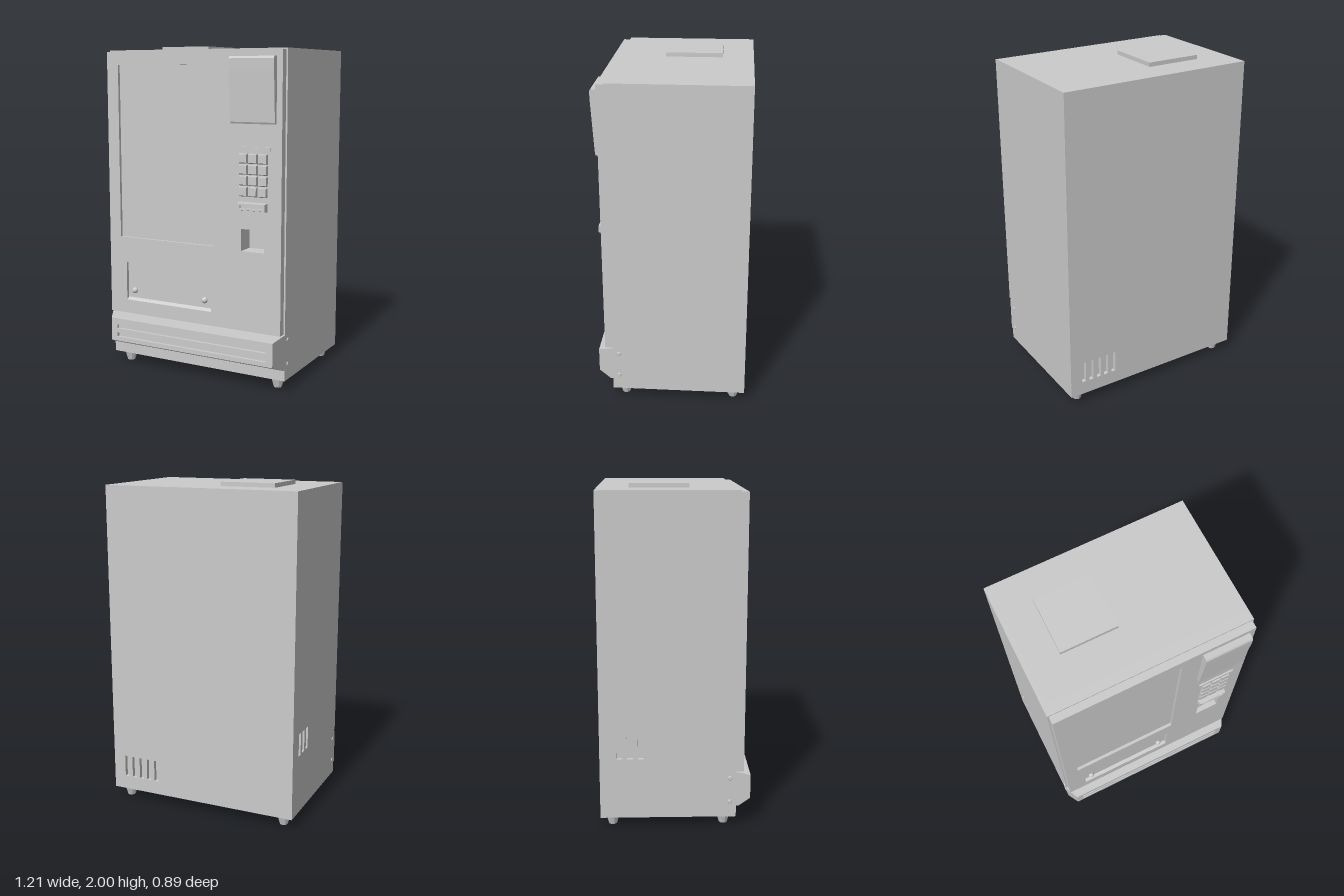
import * as THREE from 'three';

const mat = new THREE.MeshStandardMaterial({ color: 0xcccccc });
const flatMat = new THREE.MeshStandardMaterial({ color: 0xcccccc, flatShading: true });

// Rectangle outline given by its limits
function rect(x0, x1, y0, y1, Type = THREE.Shape) {
  return new Type([[x0, y0], [x1, y0], [x1, y1], [x0, y1]].map(p => new THREE.Vector2(...p)));
}

// Flat panel with rectangular openings, from z = 0 to z = depth
function panel(limits, holes, depth) {
  const shape = rect(...limits);
  holes.forEach(h => shape.holes.push(rect(...h, THREE.Path)));
  return new THREE.ExtrudeGeometry(shape, { depth, bevelEnabled: false });
}

// Box with a smaller front face; open leaves the front off
function tapered(w, h, w2, h2, d, open = false) {
  const g = new THREE.BoxGeometry(w, h, d);
  const p = g.attributes.position;
  for (let i = 0; i < p.count; i++) {
    if (p.getZ(i) > 0) p.setXY(i, p.getX(i) * w2 / w, p.getY(i) * h2 / h);
  }
  if (open) {
    g.setIndex(Array.from(g.index.array).slice(0, 24));
    g.clearGroups();
  }
  return g.translate(0, 0, d / 2);
}

export function createModel() {
  const root = new THREE.Group();
  function add(name, geo, x = 0, y = 0, z = 0, parent = root, m = mat) {
    const mesh = new THREE.Mesh(geo, m);
    mesh.name = name;
    mesh.position.set(x, y, z);
    parent.add(mesh);
    return mesh;
  }
  // Box given by its limits
  function block(name, x0, x1, y0, y1, z0, z1, parent = root) {
    return add(name, new THREE.BoxGeometry(x1 - x0, y1 - y0, z1 - z0),
      (x0 + x1) / 2, (y0 + y1) / 2, (z0 + z1) / 2, parent);
  }

  const coin = [0.335, 0.485, 0.82, 0.95];
  const windowHole = [-0.51, 0.155, 0.83, 1.885];
  const flapHole = [-0.47, 0.135, 0.43, 0.67];

  // Cabinet: solid core, with panels that carry the openings
  const cabinet = new THREE.Group();
  cabinet.name = 'cabinet';
  root.add(cabinet);
  block('cabinetCore', -0.575, 0.6, 0.065, 1.975, -0.42, 0.29, cabinet);
  add('cabinetFront', panel([-0.6, 0.6, 0.065, 1.975], [coin], 0.065), 0, 0, 0.29, cabinet);
  const backVents = [], sideVents = [];
  for (let i = 0; i < 5; i++) {
    const c = -0.51 + i * 0.052;
    backVents.push([c - 0.014, c + 0.014, 0.15, 0.285]);
  }
  for (let i = 0; i < 3; i++) {
    const c = -0.33 + i * 0.063;
    sideVents.push([c - 0.017, c + 0.017, 0.43, 0.565]);
  }
  add('cabinetBack', panel([-0.6, 0.6, 0.065, 1.975], backVents, 0.025), 0, 0, -0.42, cabinet)
    .rotation.y = Math.PI;
  add('cabinetSide', panel([-0.42, 0.29, 0.065, 1.975], sideVents, 0.025), -0.575, 0, 0, cabinet)
    .rotation.y = -Math.PI / 2;
  block('roofHatch', -0.395, -0.06, 1.975, 2, -0.26, 0.08);

  // Door with sunken window, delivery flap and coin return
  const door = new THREE.Group();
  door.name = 'door';
  root.add(door);
  add('doorFrame', panel([-0.59, 0.59, 0.345, 1.965], [windowHole, flapHole, coin], 0.045),
    0, 0, 0.355, door);
  block('window', ...windowHole, 0.36, 0.382, door);
  block('deliveryFlap', ...flapHole, 0.36, 0.38, door);
  const sill = new THREE.Shape([[-0.4, 0.43], [-0.38, 0.43], [-0.38, 0.445]]
    .map(p => new THREE.Vector2(...p)));
  add('flapSill', new THREE.ExtrudeGeometry(sill, { depth: 0.605, bevelEnabled: false }),
    -0.47, 0, 0, door).rotation.y = Math.PI / 2;
  for (const x of [-0.42, 0.082]) {
    add('flapKnob', new THREE.SphereGeometry(0.019, 16, 10), x, 0.492, 0.383, door);
  }

  // Display housing, leaning out towards the top
  const profile = [[0.4, 1.93], [0.434, 1.93], [0.44, 1.918], [0.438, 1.86], [0.43, 1.72],
    [0.421, 1.565], [0.416, 1.555], [0.4, 1.555]];
  const housing = new THREE.Shape(profile.map(([z, y]) => new THREE.Vector2(-z, y)));
  add('displayHousing', new THREE.ExtrudeGeometry(housing, { depth: 0.28, bevelEnabled: false }),
    0.275, 0, 0).rotation.y = Math.PI / 2;

  // Keypad
  const keypad = new THREE.Group();
  keypad.name = 'keypad';
  root.add(keypad);
  block('keypadStrip', 0.3, 0.52, 1.404, 1.425, 0.4, 0.41, keypad);
  for (let r = 0; r < 4; r++) {
    for (let c = 0; c < 3; c++) {
      add('key', tapered(0.058, 0.058, 0.046, 0.046, 0.013),
        0.35 + c * 0.0625, 1.358 - r * 0.063, 0.4, keypad);
    }
  }

  // Card reader with a slot
  const reader = new THREE.Group();
  reader.name = 'cardReader';
  reader.position.set(0.412, 1.084, 0.4);
  root.add(reader);
  add('readerRim', tapered(0.185, 0.05, 0.172, 0.038, 0.028, true), 0, 0, 0, reader);
  add('readerFace', panel([-0.086, 0.086, -0.019, 0.019], [[-0.073, 0.073, -0.009, 0.009]], 0.015),
    0, 0, 0.013, reader);
  block('slotBottom', -0.08, 0.08, -0.014, 0.014, 0.002, 0.014, reader);

  // Bevelled kick panel with two long grooves
  const kick = new THREE.Group();
  kick.name = 'kickPanel';
  kick.position.set(0, 0.238, 0);
  root.add(kick);
  block('kickBase', -0.6, 0.6, -0.105, 0.105, 0.35, 0.37, kick);
  add('kickBevel', tapered(1.2, 0.21, 1.125, 0.145, 0.073, true), 0, 0, 0.37, kick);
  add('kickFace', panel([-0.5625, 0.5625, -0.0725, 0.0725],
    [[-0.52, 0.52, 0.008, 0.034], [-0.52, 0.52, -0.045, -0.018]], 0.02), 0, 0, 0.423, kick);
  block('grooveBottom', -0.54, 0.54, -0.06, 0.05, 0.4, 0.424, kick);

  // Side bolts and tapered feet
  for (const s of [-1, 1]) {
    for (const y of [0.16, 0.307]) {
      const bolt = new THREE.CylinderGeometry(0.01, 0.014, 0.006, 12);
      add('sideBolt', bolt.rotateZ(-s * Math.PI / 2), s * 0.602, y, 0.318);
    }
    for (const z of [0.285, -0.375]) {
      add('foot', new THREE.CylinderGeometry(0.043, 0.025, 0.065, 10),
        s * 0.525, 0.0325, z, root, flatMat);
    }
  }
  return root;
}
